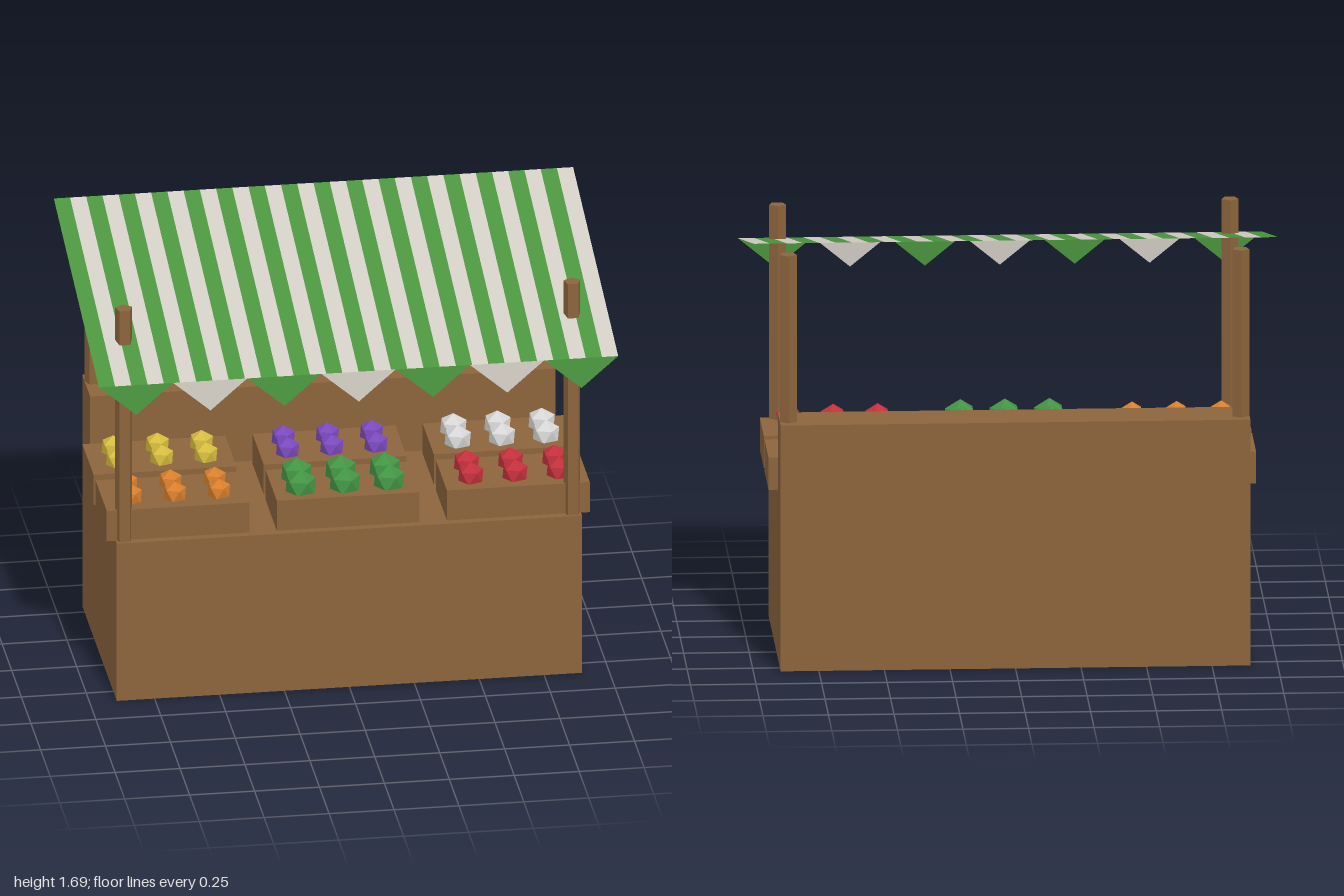
import * as THREE from 'three';

const paint = (name, color, opts = {}) => {
  const m = new THREE.MeshStandardMaterial({ color, flatShading: true, ...opts });
  m.name = name;
  return m;
};

export function createModel() {
  const group = new THREE.Group();
  group.name = 'marketStall';

  const wood = paint('wood', 0x8c643c);
  const greenCloth = paint('green cloth', 0x4b963f, { side: THREE.DoubleSide });
  const whiteCloth = paint('white cloth', 0xd3cec5, { side: THREE.DoubleSide });

  const add = (name, geometry, material, x = 0, y = 0, z = 0, parent = group) => {
    const mesh = new THREE.Mesh(geometry, material);
    mesh.name = name;
    mesh.position.set(x, y, z);
    parent.add(mesh);
    return mesh;
  };

  // Counter: stepped side profile extruded across the width
  const W = 0.896;
  const profile = new THREE.Shape([
    [-0.34, 0], [0.556, 0], [0.556, 0.965], [0.35, 0.965], [0.35, 0.656], [-0.34, 0.656],
  ].map(([x, y]) => new THREE.Vector2(x, y)));
  const counter = new THREE.ExtrudeGeometry(profile, { depth: 2 * W, bevelEnabled: false });
  counter.translate(0, 0, -W).rotateY(Math.PI / 2);
  add('counter', counter, wood);

  // Five-sided posts
  const post = (name, x, z, bottom, top) => {
    const geo = new THREE.CylinderGeometry(0.034, 0.034, top - bottom, 5).rotateY(Math.PI);
    add(name, geo, wood, x, (top + bottom) / 2, z);
  };
  for (const side of [-1, 1]) {
    const label = side > 0 ? 'Left' : 'Right';
    post('frontPost' + label, side * 0.863, 0.303, 0.62, 1.62);
    post('backPost' + label, side * 0.863, -0.489, 0.93, 1.62);
  }

  // Crates, each with two rows of three pieces of produce
  const crateGeo = new THREE.BoxGeometry(0.55, 0.126, 0.29);
  // Icosahedron turned to stand on a corner
  const produceGeo = new THREE.IcosahedronGeometry(1, 0)
    .rotateZ(Math.atan(2 / (1 + Math.sqrt(5)))).rotateY(Math.PI);
  const produce = [
    ['orange', 0xd97f2c, 0.048, -0.655, 0.165],
    ['cabbage', 0x439445, 0.066, 0, 0.165],
    ['apple', 0xc3303c, 0.054, 0.655, 0.165],
    ['lemon', 0xd6bc3e, 0.05, -0.655, -0.177],
    ['plum', 0x7b49bd, 0.05, 0, -0.177],
    ['onion', 0xd6d6d6, 0.057, 0.655, -0.177],
  ];
  for (const [name, color, radius, x, z] of produce) {
    const crate = new THREE.Group();
    crate.name = name + 'Crate';
    crate.position.set(x, 0, z);
    group.add(crate);
    add('crate', crateGeo, wood, 0, 0.718, 0, crate);
    const skin = paint(name + ' skin', color);
    for (let i = -1; i <= 1; i++) {
      for (const row of [-1, 1]) {
        add(name, produceGeo, skin, i * 0.17, 0.8, row * 0.057, crate).scale.setScalar(radius);
      }
    }
  }

  // Sloping striped awning
  const front = { y: 1.42, z: 0.578 }, back = { y: 1.69, z: -0.595 };
  const stripes = 32, stripeWidth = 2 / stripes;
  const length = Math.hypot(back.y - front.y, front.z - back.z);
  const slope = Math.atan2(back.y - front.y, front.z - back.z);
  const stripeGeo = new THREE.PlaneGeometry(stripeWidth, length).rotateX(-Math.PI / 2 + slope);
  for (let i = 0; i < stripes; i++) {
    add('awningStripe', stripeGeo, i % 2 ? whiteCloth : greenCloth,
      -1 + (i + 0.5) * stripeWidth, (front.y + back.y) / 2, (front.z + back.z) / 2);
  }

  // Triangular pennants along the front edge
  const pennants = 7, half = 1 / pennants;
  const pennantGeo = new THREE.BufferGeometry();
  pennantGeo.setAttribute('position', new THREE.Float32BufferAttribute(
    [-half, 0, 0, 0, -0.12, 0.01, half, 0, 0], 3));
  pennantGeo.computeVertexNormals();
  for (let i = 0; i < pennants; i++) {
    add('pennant', pennantGeo, i % 2 ? whiteCloth : greenCloth, -1 + (2 * i + 1) * half, front.y, front.z);
  }

  return group;
}
